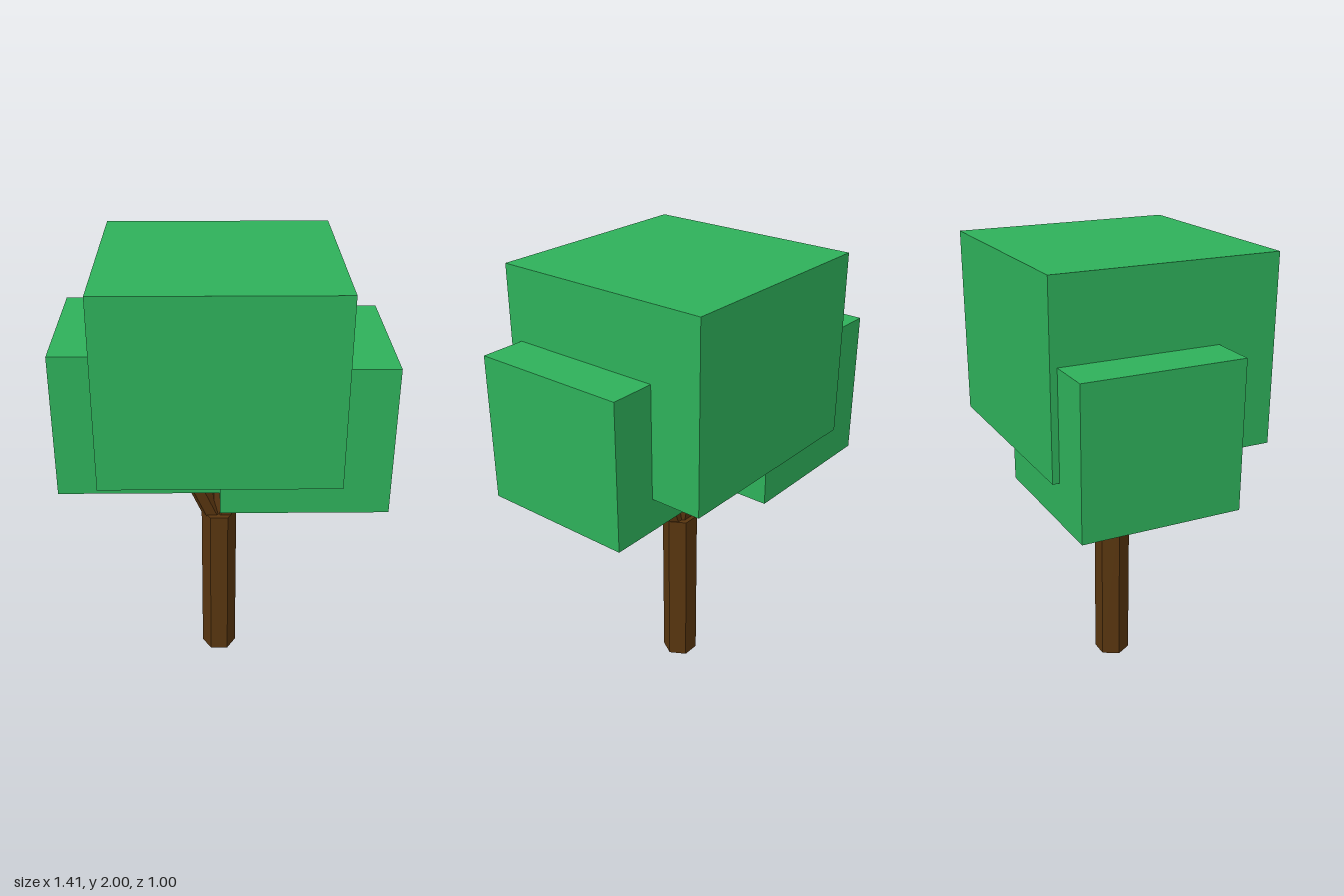
import * as THREE from 'three';

export function createModel() {
  const tree = new THREE.Group();
  tree.name = 'tree';
  const bark = new THREE.MeshStandardMaterial({ name: 'bark brown', color: 0x58350f, flatShading: true });
  const leaf = new THREE.MeshStandardMaterial({ name: 'leaf green', color: 0x2eb05a, flatShading: true });

  // Hexagonal post running between two points
  function post(name, from, to, radius) {
    const a = new THREE.Vector3(...from);
    const b = new THREE.Vector3(...to);
    const dir = b.clone().sub(a);
    const geo = new THREE.CylinderGeometry(radius, radius, dir.length(), 6);
    geo.rotateY(Math.PI / 2);
    const mesh = new THREE.Mesh(geo, bark);
    mesh.name = name;
    mesh.quaternion.setFromUnitVectors(new THREE.Vector3(0, 1, 0), dir.normalize());
    mesh.position.copy(a).add(b).multiplyScalar(0.5);
    tree.add(mesh);
  }

  // Foliage block given by its lowest and highest corners
  function block(name, min, max) {
    const size = max.map((v, i) => v - min[i]);
    const mesh = new THREE.Mesh(new THREE.BoxGeometry(...size), leaf);
    mesh.name = name;
    mesh.position.set(...max.map((v, i) => (v + min[i]) / 2));
    tree.add(mesh);
  }

  // Trunk and its three branches, which end inside the foliage
  post('trunk', [0, 0, 0], [0, 0.77, 0], 0.081);
  post('leftBranch', [0.015, 0.725, 0], [0.144, 1.1, 0.03], 0.046);
  post('rightBranch', [-0.015, 0.725, 0], [-0.165, 1.08, 0.03], 0.046);
  post('backBranch', [0, 0.725, 0], [0, 1.1, -0.06], 0.048);

  // Crown
  block('mainFoliage', [-0.5, 1.18, -0.5], [0.5, 2, 0.5]);
  block('leftFoliage', [0, 1.03, -0.265], [0.705, 1.68, 0.44]);
  block('rightFoliage', [-0.705, 1.005, -0.47], [0, 1.65, 0.235]);

  return tree;
}
